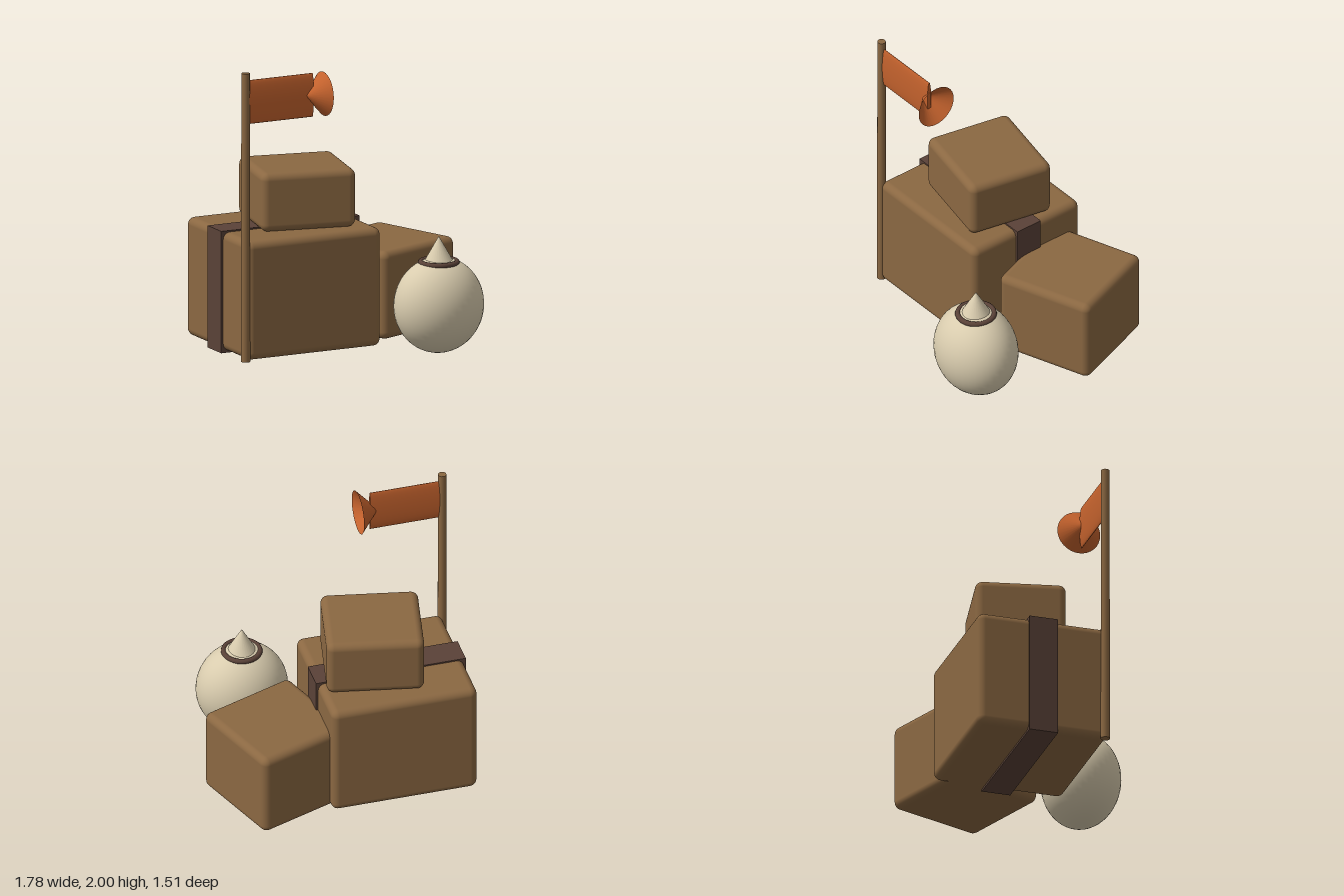
import * as THREE from 'three';
import { RoundedBoxGeometry } from 'three/addons/geometries/RoundedBoxGeometry.js';

function material(name, color, side = THREE.FrontSide) {
  const m = new THREE.MeshStandardMaterial({ color, side });
  m.name = name;
  return m;
}

export function createModel() {
  const group = new THREE.Group();
  const wood = material('wood brown', 0x8b6842);
  const leather = material('dark leather', 0x5a4238);
  const cloth = material('cream cloth', 0xd9ccae);
  const orange = material('orange', 0xc4622d, THREE.DoubleSide);

  function add(name, geometry, mat, x, y, z) {
    const mesh = new THREE.Mesh(geometry, mat);
    mesh.name = name;
    mesh.position.set(x, y, z);
    group.add(mesh);
    return mesh;
  }

  // Stacked crates: name, size, centre, turn
  const crates = [
    ['largeCrate', [1.01, 0.81, 0.91], [-0.355, 0.435, -0.195], 0],
    ['sideCrate', [0.7, 0.6, 0.7], [0.447, 0.33, -0.321], 0.35],
    ['topCrate', [0.655, 0.4, 0.61], [-0.255, 1.04, -0.195], -0.2],
  ];
  for (const [name, size, centre, turn] of crates) {
    add(name, new RoundedBoxGeometry(...size, 4, 0.05), wood, ...centre).rotation.y = turn;
  }

  // Strap around the large crate
  add('strap', new THREE.BoxGeometry(1.04, 0.835, 0.2), leather, -0.355, 0.4325, -0.197);

  // Tied sack: body, cord and gathered tip
  const sack = new THREE.SphereGeometry(1, 40, 28);
  sack.scale(0.312, 0.325, 0.265);
  add('sackBody', sack, cloth, 0.455, 0.33, 0.493);
  add('sackCord', new THREE.TorusGeometry(0.122, 0.018, 10, 36), leather, 0.455, 0.622, 0.493)
    .rotation.x = Math.PI / 2;
  add('sackTip', new THREE.ConeGeometry(0.102, 0.18, 28), cloth, 0.455, 0.71, 0.493);

  // Pole
  add('pole', new THREE.CylinderGeometry(0.028, 0.032, 1.975, 16), wood, -0.864, 1.0125, 0.237);

  // Streamer: flattened tube with an open flared tail
  const tube = new THREE.CylinderGeometry(0.15, 0.15, 0.49, 32);
  tube.rotateZ(-Math.PI / 2);
  tube.scale(1, 1, 0.11);
  add('streamerBody', tube, orange, -0.605, 1.8, 0.235);

  const tail = new THREE.ConeGeometry(0.15, 0.14, 32, 1, true);
  tail.rotateZ(Math.PI / 2);
  add('streamerTail', tail, orange, -0.35, 1.8, 0.24);

  return group;
}
